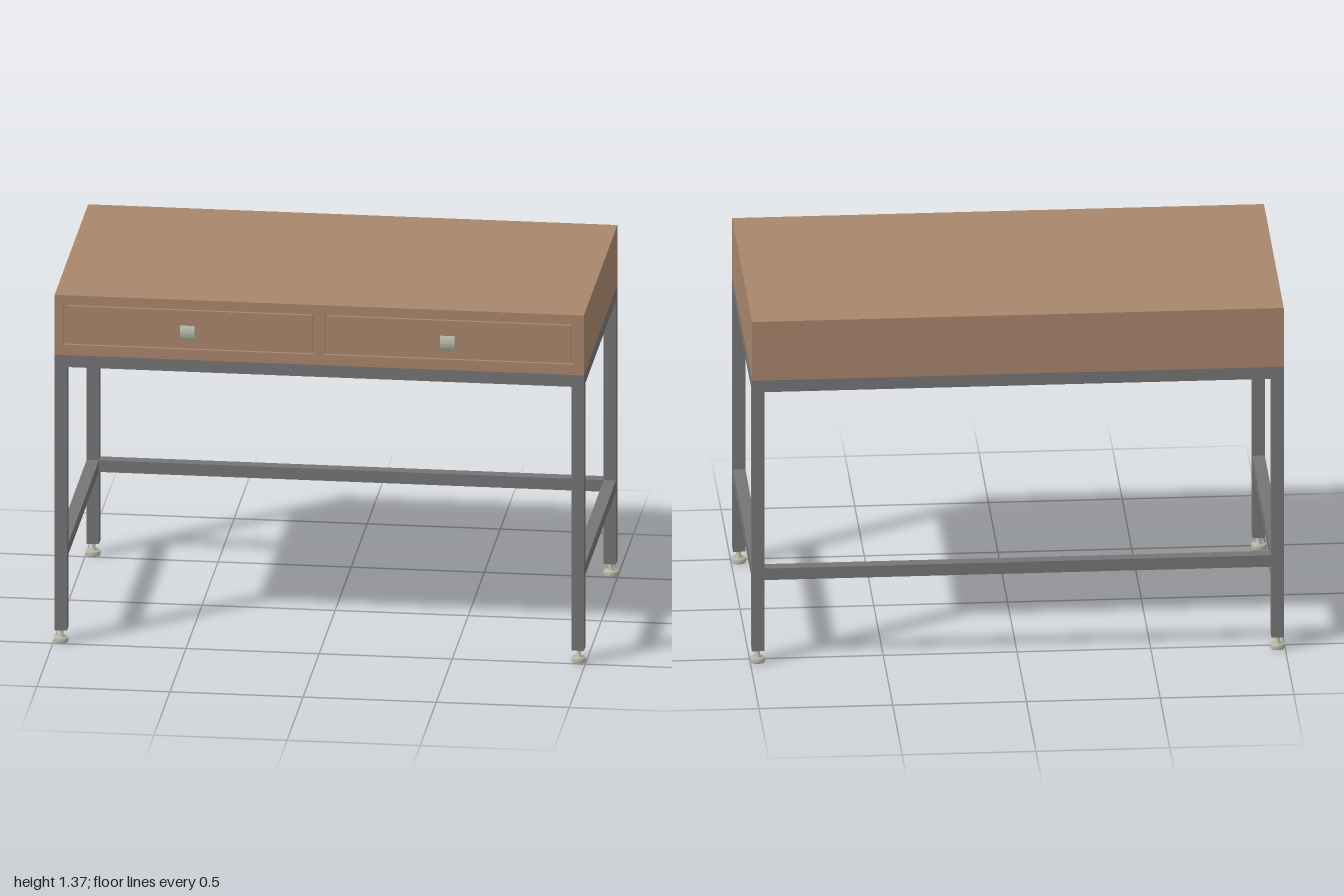
import * as THREE from 'three';

export function createModel() {
  const root = new THREE.Group();
  root.name = 'desk';
  const mat = (name, color) => {
    const m = new THREE.MeshStandardMaterial({ color });
    m.name = name;
    return m;
  };
  const wood = mat('brown wood', 0xa9866c);
  const steel = mat('grey steel', 0x757575);
  const metal = mat('pale metal', 0xb9b9a9);

  const add = (name, geo, material, parent = root) => {
    const mesh = new THREE.Mesh(geo, material);
    mesh.name = name;
    parent.add(mesh);
    return mesh;
  };
  // Box given by its minimum and maximum on each axis
  const box = (name, material, x0, x1, y0, y1, z0, z1) => {
    const mesh = add(name, new THREE.BoxGeometry(x1 - x0, y1 - y0, z1 - z0), material);
    mesh.position.set((x0 + x1) / 2, (y0 + y1) / 2, (z0 + z1) / 2);
    return mesh;
  };
  const trace = (path, x0, x1, y0, y1) => {
    path.moveTo(x0, y0).lineTo(x1, y0).lineTo(x1, y1).lineTo(x0, y1).closePath();
    return path;
  };

  const W = 0.994, front = 0.495, back = -0.55, t = 0.046;
  const caseBottom = 1.137, caseTop = 1.373, frameDepth = 0.012;

  // Wooden case with a front frame around the two drawers
  box('case', wood, -W, W, caseBottom, caseTop, back, front - frameDepth);
  const face = trace(new THREE.Shape(), -W, W, caseBottom, caseTop);
  const openings = [[-0.962, -0.018], [0.018, 0.956]];
  const y0 = 1.178, y1 = 1.34, gap = 0.009;
  for (const [a, b] of openings) face.holes.push(trace(new THREE.Path(), a, b, y0, y1));
  const frame = add('frontFrame',
    new THREE.ExtrudeGeometry(face, { depth: frameDepth, bevelEnabled: false }), wood);
  frame.position.z = front - frameDepth;

  // Knob head: rounded front profile, extruded sideways
  const profile = new THREE.Shape();
  profile.moveTo(0, -0.013).lineTo(0.006, -0.026).lineTo(0.016, -0.028);
  profile.quadraticCurveTo(0.033, 0, 0.016, 0.028);
  profile.lineTo(0.006, 0.026).lineTo(0, 0.013).closePath();
  const headGeo = new THREE.ExtrudeGeometry(profile, { depth: 0.054, bevelEnabled: false, curveSegments: 8 });
  headGeo.translate(0, 0, -0.027).rotateY(-Math.PI / 2);
  const stemGeo = new THREE.CylinderGeometry(0.013, 0.013, 0.034, 20).rotateX(Math.PI / 2);

  for (const [a, b] of openings) {
    box('drawerFront', wood, a + gap, b - gap, y0 + gap, y1 - gap, front - frameDepth, front);
    const knob = new THREE.Group();
    knob.name = 'knob';
    knob.position.set((a + b) / 2, 1.258, front);
    add('knobStem', stemGeo, metal, knob).position.z = 0.016;
    add('knobHead', headGeo, metal, knob).position.z = 0.03;
    root.add(knob);
  }

  // Legs and levelling feet
  const foot = [[0, 0], [0.026, 0], [0.028, 0.003], [0.028, 0.016], [0.025, 0.02],
    [0.009, 0.02], [0.009, 0.05]].map(([r, y]) => new THREE.Vector2(r, y));
  const footGeo = new THREE.LatheGeometry(foot, 24);
  footGeo.name = 'foot';
  for (const s of [-1, 1]) {
    for (const z of [front - t, back]) {
      const x = s > 0 ? W - t : -W;
      box('leg', steel, x, x + t, 0.05, caseBottom, z, z + t);
      add('foot', footGeo, metal).position.set(s * 0.972, 0, z + t / 2);
    }
  }

  // Upper rails on all sides, lower stretchers on the sides and back
  const rails = [['topRail', 1.09, caseBottom], ['stretcher', 0.335, 0.381]];
  for (const [name, a, b] of rails) {
    for (const x of [-W, W - t]) box('side ' + name, steel, x, x + t, a, b, back + t, front - t);
    box('back ' + name, steel, -W + t, W - t, a, b, back, back + t);
  }
  box('front topRail', steel, -W + t, W - t, 1.09, caseBottom, front - t, front);

  return root;
}
